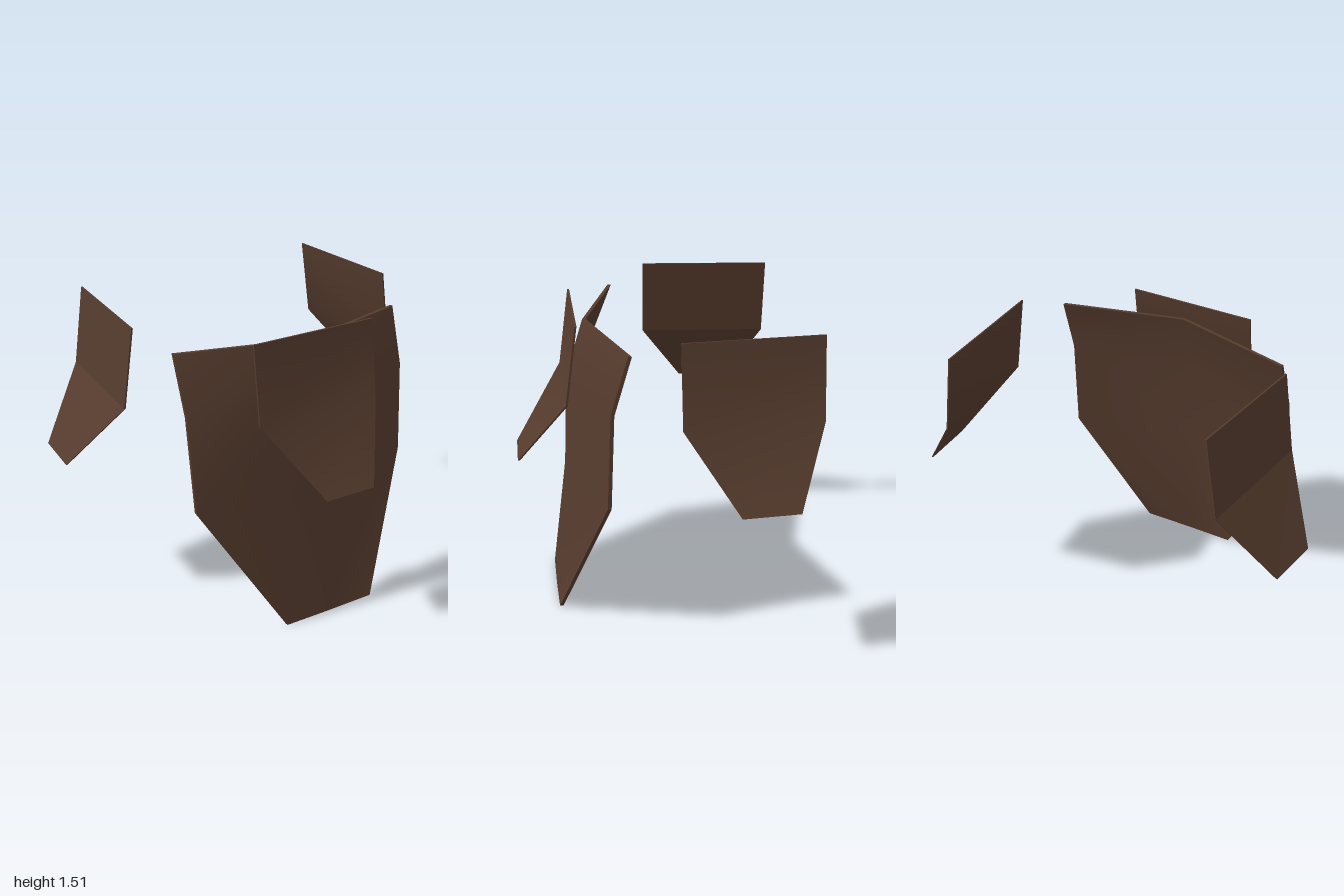
import * as THREE from 'three';
import { mergeGeometries } from 'three/addons/utils/BufferGeometryUtils.js';

const BROWN = 0x553b2d;

// Thin folded plate: rows of points run top to bottom, each left to right as seen from outside.
// The two skins lie half of the thickness vector either side of the points.
function plate(name, rows, thickness, flatShading = false) {
  const cols = rows[0].length, last = rows.length - 1;
  const half = new THREE.Vector3(...thickness).multiplyScalar(0.5);
  const points = rows.flat().map(p => new THREE.Vector3(...p));
  const outer = points.map(p => p.clone().add(half));
  const inner = points.map(p => p.clone().sub(half));
  const n = points.length;

  // outer and inner skins, each with its own normals
  const index = [];
  for (let r = 0; r < last; r++) {
    for (let c = 0; c < cols - 1; c++) {
      const a = r * cols + c, b = a + 1, d = a + cols, e = d + 1;
      index.push(a, d, b, b, d, e);
      index.push(n + a, n + b, n + d, n + b, n + e, n + d);
    }
  }
  const skins = new THREE.BufferGeometry().setFromPoints([...outer, ...inner]);
  skins.setIndex(index);
  skins.computeVertexNormals();

  // sharp rim around the outline, clockwise from the top left corner
  const loop = [];
  for (let c = 0; c < cols; c++) loop.push(c);
  for (let r = 1; r <= last; r++) loop.push(r * cols + cols - 1);
  for (let c = cols - 2; c >= 0; c--) loop.push(last * cols + c);
  for (let r = last - 1; r > 0; r--) loop.push(r * cols);
  const rimPoints = loop.flatMap((p, i) => {
    const q = loop[(i + 1) % loop.length];
    return [outer[p], outer[q], inner[p], outer[q], inner[q], inner[p]];
  });
  const rim = new THREE.BufferGeometry().setFromPoints(rimPoints);
  rim.computeVertexNormals();

  const material = new THREE.MeshStandardMaterial({ color: BROWN, flatShading, side: THREE.DoubleSide });
  const mesh = new THREE.Mesh(mergeGeometries([skins.toNonIndexed(), rim]), material);
  mesh.name = name;
  return mesh;
}

export function createModel() {
  const group = new THREE.Group();
  group.name = 'armourPlates';

  // large plate, folded along its centre line and tapering to the bottom
  group.add(plate('mainPlate', [
    [[-0.62, 1.42, 0.175], [0.01, 1.42, 0.35], [0.62, 1.42, 0.183]],
    [[-0.62, 1.14, 0.285], [0.01, 1.14, 0.435], [0.62, 1.14, 0.265]],
    [[-0.62, 0.675, 0.355], [0.01, 0.675, 0.452], [0.62, 0.675, 0.283]],
    [[-0.21, 0, 0.515], [0.04, 0, 0.515], [0.3, 0, 0.51]],
  ], [0, 0, 0.018]));

  // small plate in front of it, kicked out at the bottom
  group.add(plate('frontPlate', [
    [[-0.33, 1.48, 0.408], [0.33, 1.48, 0.408]],
    [[-0.33, 1.09, 0.458], [0.33, 1.09, 0.458]],
    [[-0.11, 0.75, 0.695], [0.16, 0.75, 0.695]],
  ], [0, 0, 0.01]));

  // side plates, flared outward at the bottom
  group.add(plate('rightSidePlate', [
    [[-0.724, 1.503, -0.015], [-0.67, 1.503, -0.68]],
    [[-0.779, 1.11, -0.02], [-0.727, 1.11, -0.68]],
    [[-0.996, 0.772, -0.255], [-0.972, 0.772, -0.53]],
  ].map(row => row.reverse()), [-0.008, 0, 0], true));

  group.add(plate('leftSidePlate', [
    [[0.724, 1.508, -0.033], [0.668, 1.508, -0.695]],
    [[0.777, 1.112, -0.038], [0.72, 1.112, -0.698]],
    [[0.996, 0.775, -0.275], [0.972, 0.775, -0.548]],
  ], [0.008, 0, 0]));

  return group;
}
